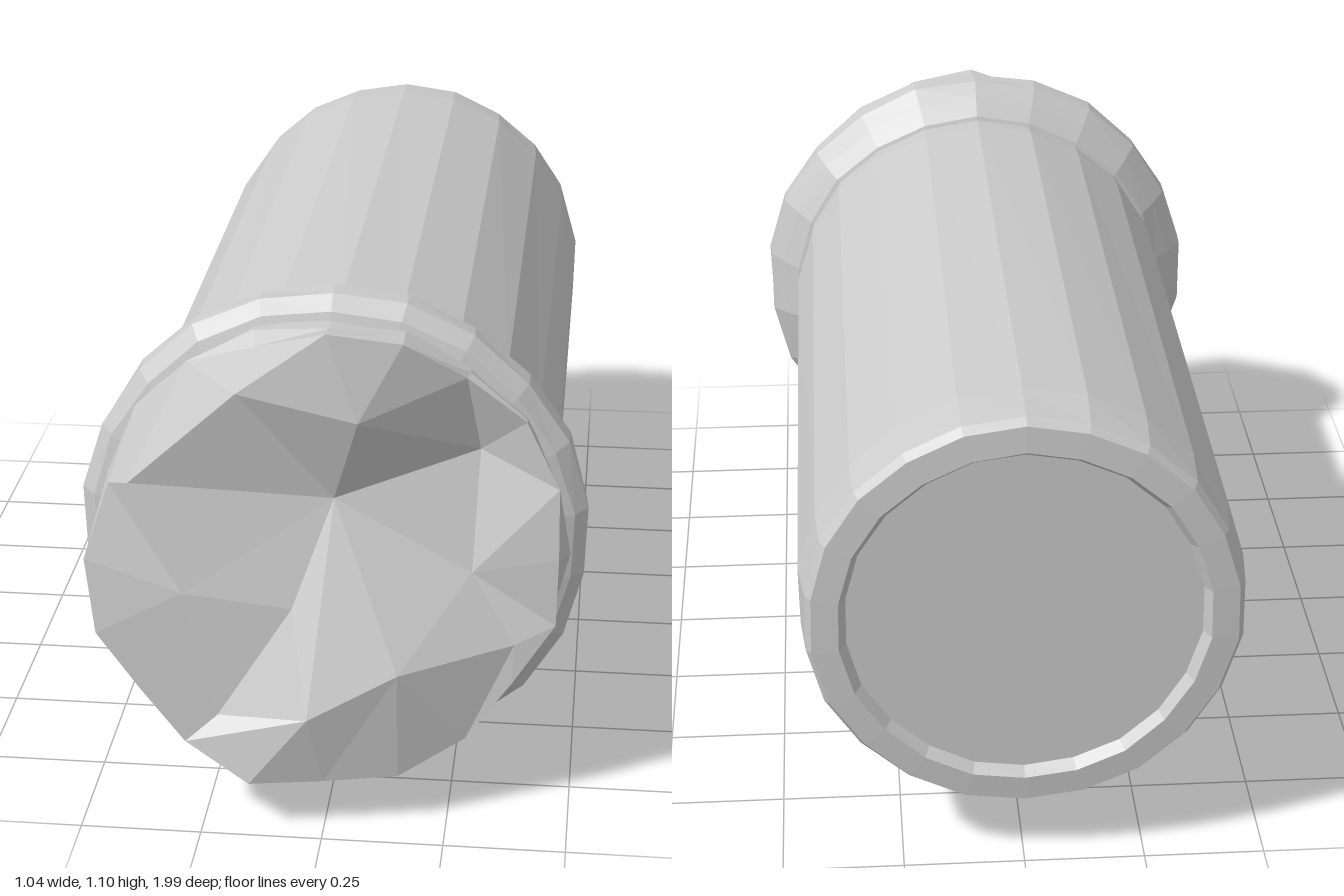
import * as THREE from 'three';

const AXIS_Y = 0.578;

function material() {
  return new THREE.MeshStandardMaterial({ color: 0xcccccc, flatShading: true });
}

// Faceted ring profile [radius, z] turned around the horizontal z axis, with a slight hand-cut wobble
function turned(name, profile, sides, wobble) {
  const geo = new THREE.LatheGeometry(profile.map(([r, z]) => new THREE.Vector2(r, z)), sides);
  geo.rotateX(Math.PI / 2);
  const p = geo.attributes.position;
  for (let i = 0; i < p.count; i++) {
    const x = p.getX(i), y = p.getY(i), z = p.getZ(i);
    const a = Math.atan2(y, x);
    const k = 1 + wobble * Math.cos(7 * a + 23 * z);
    p.setXYZ(i, x * k, y * k, z);
  }
  geo.computeVertexNormals();
  const mesh = new THREE.Mesh(geo, material());
  mesh.name = name;
  mesh.position.y = AXIS_Y;
  return mesh;
}

// Rough broken plug: side wall, jagged rim, and a chipped faceted face
function brokenPlug() {
  const rimZ = [0.83, 0.82, 0.8, 0.8, 0.85, 0.87, 0.84, 0.81, 0.82, 0.86,
    0.92, 0.95, 0.95, 0.95, 0.99, 0.96, 0.93, 0.88, 0.86, 0.83];
  const n = rimZ.length;
  const ring = (k, r, z) => {
    const a = ((k % n) / n) * Math.PI * 2;
    return [r * Math.cos(a), AXIS_Y + r * Math.sin(a), z];
  };
  const base = rimZ.map((_, k) => ring(k, 0.475, 0.72));
  const mid = rimZ.map((z, k) => ring(k, k % 2 ? 0.475 : 0.487, 0.79 + (z - 0.8) * 0.3));
  const rim = rimZ.map((z, k) => ring(k, k % 3 ? 0.486 : 0.465, z));
  const inner = [
    [0.29, 0.535, 0.82], [0.3, 0.78, 0.75], [0.065, 0.885, 0.89], [-0.18, 0.93, 0.87],
    [-0.4, 0.73, 0.875], [-0.29, 0.505, 0.91], [-0.22, 0.24, 0.93], [-0.03, 0.27, 0.99],
    [0.15, 0.36, 0.95], [0.38, 0.39, 0.85],
  ];
  const pit = [0.01, 0.69, 0.82];
  const ledge = [-0.07, 0.47, 0.89];
  const out = [];
  const tri = (a, b, c) => out.push(...a, ...b, ...c);

  // side wall
  for (const [lo, hi] of [[base, mid], [mid, rim]]) {
    for (let k = 0; k < n; k++) {
      const m = (k + 1) % n;
      tri(lo[k], lo[m], hi[m]);
      tri(lo[k], hi[m], hi[k]);
    }
  }
  // rim to inner chips
  inner.forEach((p, j) => {
    const q = inner[(j + 1) % inner.length];
    const r0 = rim[2 * j], r1 = rim[2 * j + 1], r2 = rim[(2 * j + 2) % n];
    tri(p, r0, r1);
    tri(p, r1, q);
    tri(q, r1, r2);
  });
  // chips meeting at the central pit
  const fan = [inner[8], ...inner.slice(0, 6), ledge, inner[7]];
  fan.forEach((p, i) => tri(pit, p, fan[(i + 1) % fan.length]));
  tri(inner[5], inner[6], ledge);
  tri(ledge, inner[6], inner[7]);
  tri(inner[8], inner[9], inner[0]);

  const geo = new THREE.BufferGeometry();
  geo.setAttribute('position', new THREE.Float32BufferAttribute(out, 3));
  geo.computeVertexNormals();
  const mesh = new THREE.Mesh(geo, material());
  mesh.name = 'brokenPlug';
  return mesh;
}

// Small foot under the collar, its front leaning back toward the bottom
function foot() {
  const shape = new THREE.Shape([
    [-0.19, 0.16], [-0.172, 0.06], [-0.152, 0.03], [0, 0], [0.15, 0.02], [0.175, 0.07], [0.19, 0.16],
  ].map(([x, y]) => new THREE.Vector2(x, y)));
  const geo = new THREE.ExtrudeGeometry(shape, { depth: 1, bevelEnabled: false });
  const p = geo.attributes.position;
  for (let i = 0; i < p.count; i++) {
    const y = p.getY(i);
    p.setZ(i, p.getZ(i) > 0.5 ? 0.69 + y * 0.5 : 0.585 + y * 0.1);
  }
  geo.computeVertexNormals();
  const mesh = new THREE.Mesh(geo, material());
  mesh.name = 'foot';
  return mesh;
}

export function createModel() {
  const group = new THREE.Group();
  group.name = 'cylinderWithBrokenEnd';

  // long barrel with a shallow recessed back end
  group.add(turned('barrel', [
    [0, -0.97], [0.36, -0.97], [0.375, -0.995], [0.43, -0.99], [0.442, -0.97],
    [0.452, -0.87], [0.452, 0.55], [0.445, 0.62],
  ], 22, 0.004));

  // flared collar
  group.add(turned('collar', [
    [0.43, 0.6], [0.455, 0.61], [0.49, 0.645], [0.522, 0.685], [0.523, 0.735], [0.495, 0.765], [0.465, 0.775],
  ], 22, 0.006));

  group.add(brokenPlug(), foot());
  return group;
}
